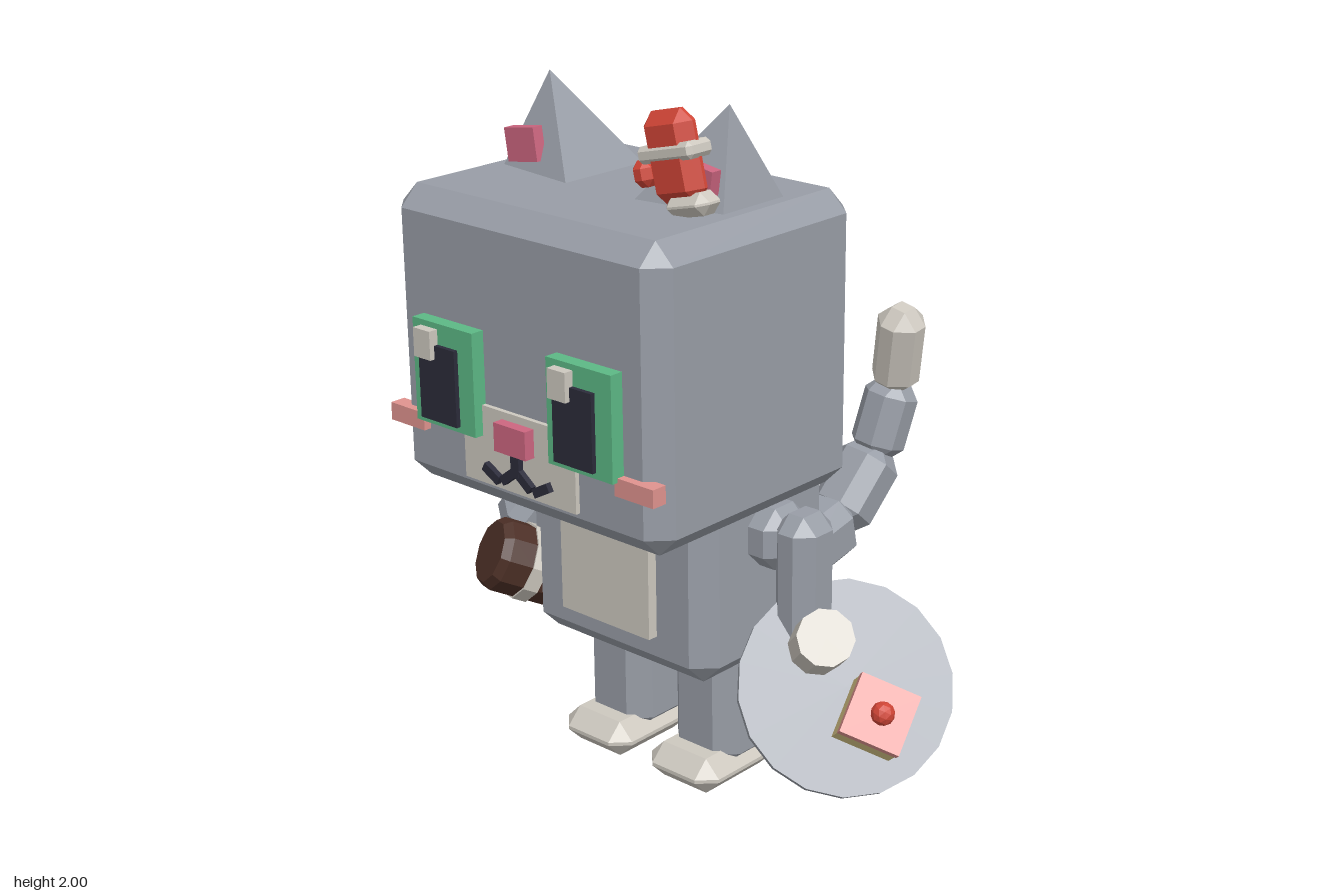
import * as THREE from 'three';
import { ConvexGeometry } from 'three/addons/geometries/ConvexGeometry.js';

const V = (x, y, z) => new THREE.Vector3(x, y, z);
const mat = (name, color) => {
  const m = new THREE.MeshStandardMaterial({ color });
  m.name = name;
  return m;
};

export function createModel() {
  const root = new THREE.Group();
  root.name = 'cat';
  const grey = mat('grey fur', 0x989da6), cream = mat('cream', 0xcdc8bf);
  const ink = mat('dark ink', 0x2b2b3a), green = mat('green', 0x5cb885);
  const pink = mat('pink', 0xcc6680), salmon = mat('salmon', 0xe0938f);
  const red = mat('red', 0xd04536), brown = mat('brown', 0x4c2f26);
  const yellow = mat('yellow', 0xd6c384);
  const MID = -0.09; // mirror plane of the body

  const add = (name, geo, m, pos, parent = root) => {
    const mesh = new THREE.Mesh(geo, m);
    mesh.name = name;
    mesh.position.set(...pos);
    parent.add(mesh);
    return mesh;
  };
  // box with every edge cut at 45 degrees
  const bevelBox = (w, h, d, c = 0.055) => {
    const s = [w / 2, h / 2, d / 2], pts = [];
    const k = Math.min(c, Math.min(...s) * 0.9);
    for (let full = 0; full < 3; full++)
      for (const x of [-1, 1]) for (const y of [-1, 1]) for (const z of [-1, 1])
        pts.push(V(...[x, y, z].map((sg, i) => sg * (s[i] - (i === full ? 0 : k)))));
    return new ConvexGeometry(pts);
  };
  const flat = (geo) => {
    const g = geo.toNonIndexed();
    g.computeVertexNormals();
    return g;
  };
  const drum = (r0, r1, h, n) => flat(new THREE.CylinderGeometry(r1, r0, h, n));
  // box given by its min and max corners
  const span = (name, m, a, b, parent) => add(name,
    new THREE.BoxGeometry(b[0] - a[0], b[1] - a[1], b[2] - a[2]), m,
    a.map((v, i) => (v + b[i]) / 2), parent);
  // turn the y axis of a part along a direction
  const aim = (o, dir) => o.quaternion.setFromUnitVectors(V(0, 1, 0), dir.clone().normalize());

  // head, body and belly
  add('head', bevelBox(0.974, 0.826, 0.781, 0.058), grey, [MID, 1.32, 0.376]);
  add('body', bevelBox(0.684, 0.702, 0.54, 0.06), grey, [MID, 0.73, 0.172]);
  span('belly', cream, [-0.259, 0.5, 0.42], [0.074, 0.89, 0.473]);

  // face
  span('muzzle', cream, [-0.296, 0.98, 0.75], [0.116, 1.198, 0.78]);
  span('nose', pink, [-0.148, 1.098, 0.76], [-0.032, 1.177, 0.812]);
  span('mouthStem', ink, [-0.105, 1.035, 0.77], [-0.075, 1.1, 0.797]);
  for (const s of [-1, 1]) {
    add('mouthInner', new THREE.BoxGeometry(0.062, 0.026, 0.027), ink,
      [MID + s * 0.028, 1.028, 0.783]).rotation.z = -s * 0.65;
    add('mouthOuter', new THREE.BoxGeometry(0.062, 0.026, 0.027), ink,
      [MID + s * 0.093, 1.02, 0.783]).rotation.z = s * 0.5;
    const ex = s < 0 ? -0.45 : 0.048;
    span('eye', green, [ex, 1.113, 0.74], [ex + 0.227, 1.4, 0.807]);
    span('pupil', ink, [ex + 0.032, 1.13, 0.76], [ex + 0.17, 1.342, 0.82]);
    span('eyeGlint', cream, [ex + 0.032, 1.304, 0.76], [ex + 0.095, 1.384, 0.835]);
    add('cheek', new THREE.BoxGeometry(0.132, 0.05, 0.046), salmon, [MID + s * 0.42, 1.1, 0.767]);

    // ears lean outward
    const ear = [[0.115, 1.72, 0.158], [0.4, 1.72, 0.185], [0.4, 1.72, 0.43],
      [0.115, 1.72, 0.468], [0.322, 1.985, 0.315]];
    add('ear', new ConvexGeometry(ear.map(([x, y, z]) => V(MID + s * x, y, z))), grey, [0, 0, 0]);
    add('innerEar', new THREE.BoxGeometry(0.112, 0.093, 0.034), pink,
      [MID + s * 0.312, 1.803, 0.424]).rotation.z = -s * 0.15;

    // limbs
    add('leg', bevelBox(0.237, 0.42, 0.234), grey, [MID + s * 0.168, 0.25, 0.174]);
    add('foot', bevelBox(0.258, 0.108, 0.328), cream, [MID + s * 0.168, 0.054, 0.222]);
    add('shoulder', bevelBox(0.17, 0.18, 0.175, 0.05), grey, [MID + s * 0.36, 0.78, 0.178]);
    add('arm', bevelBox(0.14, 0.42, 0.16, 0.045), grey, [MID + s * 0.467, 0.66, 0.178]);
    add('hand', bevelBox(0.16, 0.15, 0.16, 0.05), cream, [MID + s * 0.467, 0.455, 0.178]);
  }

  // tail, a chain of bevelled blocks
  const path = [[-0.09, 0.51, -0.06], [-0.09, 0.44, -0.315], [-0.09, 0.49, -0.55],
    [-0.07, 0.67, -0.71], [-0.045, 0.885, -0.77], [0.01, 1.14, -0.73]].map((p) => V(...p));
  const widths = [0.205, 0.195, 0.18, 0.16, 0.145];
  widths.forEach((w, i) => {
    const d = path[i + 1].clone().sub(path[i]);
    const c = path[i].clone().add(path[i + 1]).multiplyScalar(0.5);
    const seg = add(i === 4 ? 'tailTip' : 'tailSegment',
      bevelBox(w, d.length() + 0.03, w, 0.048), i === 4 ? cream : grey, c.toArray());
    aim(seg, d);
  });

  // striped mallet in the right hand
  const mallet = new THREE.Group();
  mallet.name = 'malletHead';
  mallet.position.set(-0.59, 0.482, 0.295);
  aim(mallet, V(-0.1, 0.1, 0.19));
  root.add(mallet);
  for (const s of [-1, 1]) {
    add('malletBarrel', drum(0.112, 0.112, 0.075, 10), brown, [0, s * 0.06, 0], mallet);
    add('malletRim', s > 0 ? drum(0.112, 0.095, 0.025, 10) : drum(0.095, 0.112, 0.025, 10),
      brown, [0, s * 0.11, 0], mallet);
  }
  add('malletBand', drum(0.118, 0.118, 0.045, 10), cream, [0, 0, 0], mallet);
  const grip = add('malletGrip', drum(0.035, 0.035, 0.24, 8), ink, [-0.645, 0.515, 0.13]);
  aim(grip, V(-0.15, 0.125, 0.08));
  const knob = add('malletKnob', bevelBox(0.145, 0.145, 0.145, 0.045), grey, [-0.725, 0.575, 0.17]);
  aim(knob, V(-0.15, 0.125, 0.08));

  // tray on the left arm, facing outward, up and forward
  const tray = new THREE.Group();
  tray.name = 'tray';
  const n = V(0.64, 0.57, 0.54).normalize();
  const u = V(0.777, -0.38, -0.518).addScaledVector(n, -n.dot(V(0.777, -0.38, -0.518))).normalize();
  tray.quaternion.setFromRotationMatrix(
    new THREE.Matrix4().makeBasis(u, n, u.clone().cross(n)));
  tray.position.set(0.54, 0.405, 0.195);
  root.add(tray);
  add('trayDisc', drum(0.297, 0.297, 0.03, 18), grey, [0, 0, 0], tray);
  add('trayCup', drum(0.08, 0.08, 0.16, 10), cream, [-0.115, 0.09, -0.07], tray);
  span('cake', yellow, [0.012, 0, -0.025], [0.178, 0.12, 0.141], tray);
  span('cakeIcing', salmon, [0.01, 0.115, -0.027], [0.18, 0.158, 0.143], tray);
  add('cherry', flat(new THREE.IcosahedronGeometry(0.033, 1).toNonIndexed()), red,
    [0.097, 0.18, 0.059], tray);

  // small red festive cap by the left ear
  const cap = new THREE.Group();
  cap.name = 'cap';
  cap.position.set(0.2, 1.87, 0.482);
  cap.rotation.z = 0.24;
  root.add(cap);
  add('capBody', bevelBox(0.17, 0.24, 0.08, 0.035), red, [0, 0.005, 0], cap);
  add('capBand', bevelBox(0.19, 0.045, 0.092, 0.012), cream, [0, 0.02, 0], cap);
  add('capBase', bevelBox(0.15, 0.06, 0.092, 0.028), cream, [0.03, -0.117, 0], cap);
  add('capBobble', bevelBox(0.065, 0.07, 0.065, 0.02), red, [-0.112, -0.028, 0], cap);

  return root;
}
